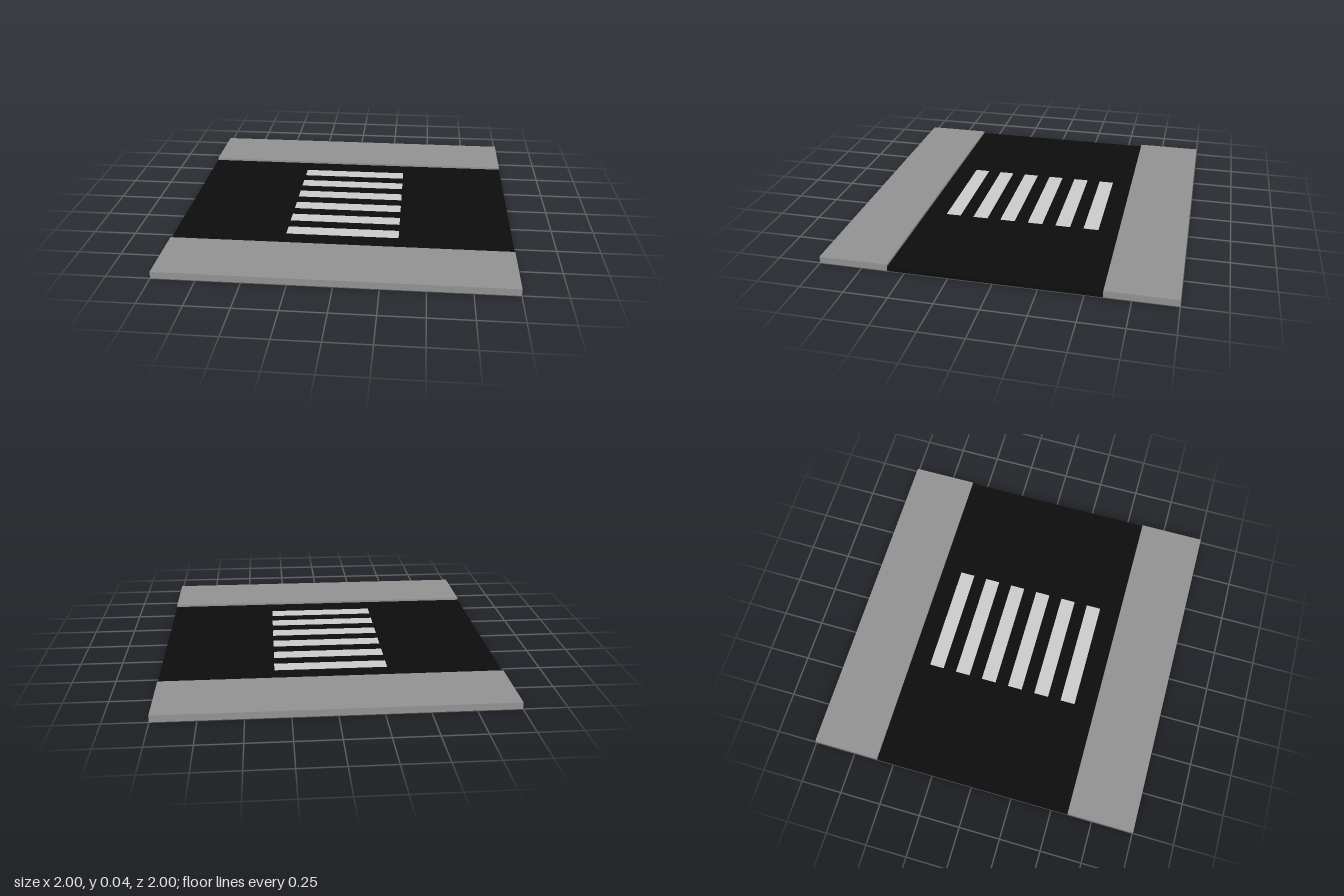
import * as THREE from 'three';

const PAVEMENT_HEIGHT = 0.04;
const ROAD_HEIGHT = 0.027;
const STRIPES = 6;
const STRIPE_PITCH = 0.1715;

export function createModel() {
  const model = new THREE.Group();
  model.name = 'roadCrossing';

  const pavementMat = new THREE.MeshStandardMaterial({ color: 0x929292 });
  const roadMat = new THREE.MeshStandardMaterial({ color: 0x0d0d0d });
  const stripeMat = new THREE.MeshStandardMaterial({ color: 0xcccccc });

  // Box standing on height y, centred on x = 0
  function slab(name, material, width, height, depth, y, z) {
    const mesh = new THREE.Mesh(new THREE.BoxGeometry(width, height, depth), material);
    mesh.name = name;
    mesh.position.set(0, y + height / 2, z);
    model.add(mesh);
  }

  // Road surface
  slab('road', roadMat, 2, ROAD_HEIGHT, 1.2, 0, 0);

  // Raised pavements along the front and back
  slab('frontPavement', pavementMat, 2, PAVEMENT_HEIGHT, 0.4, 0, 0.8);
  slab('backPavement', pavementMat, 2, PAVEMENT_HEIGHT, 0.4, 0, -0.8);

  // Crossing stripes, painted just above the road
  for (let i = 0; i < STRIPES; i++) {
    const z = (i - (STRIPES - 1) / 2) * STRIPE_PITCH - 0.003;
    slab(`crossingStripe${i + 1}`, stripeMat, 0.668, 0.001, 0.09, ROAD_HEIGHT, z);
  }

  return model;
}
